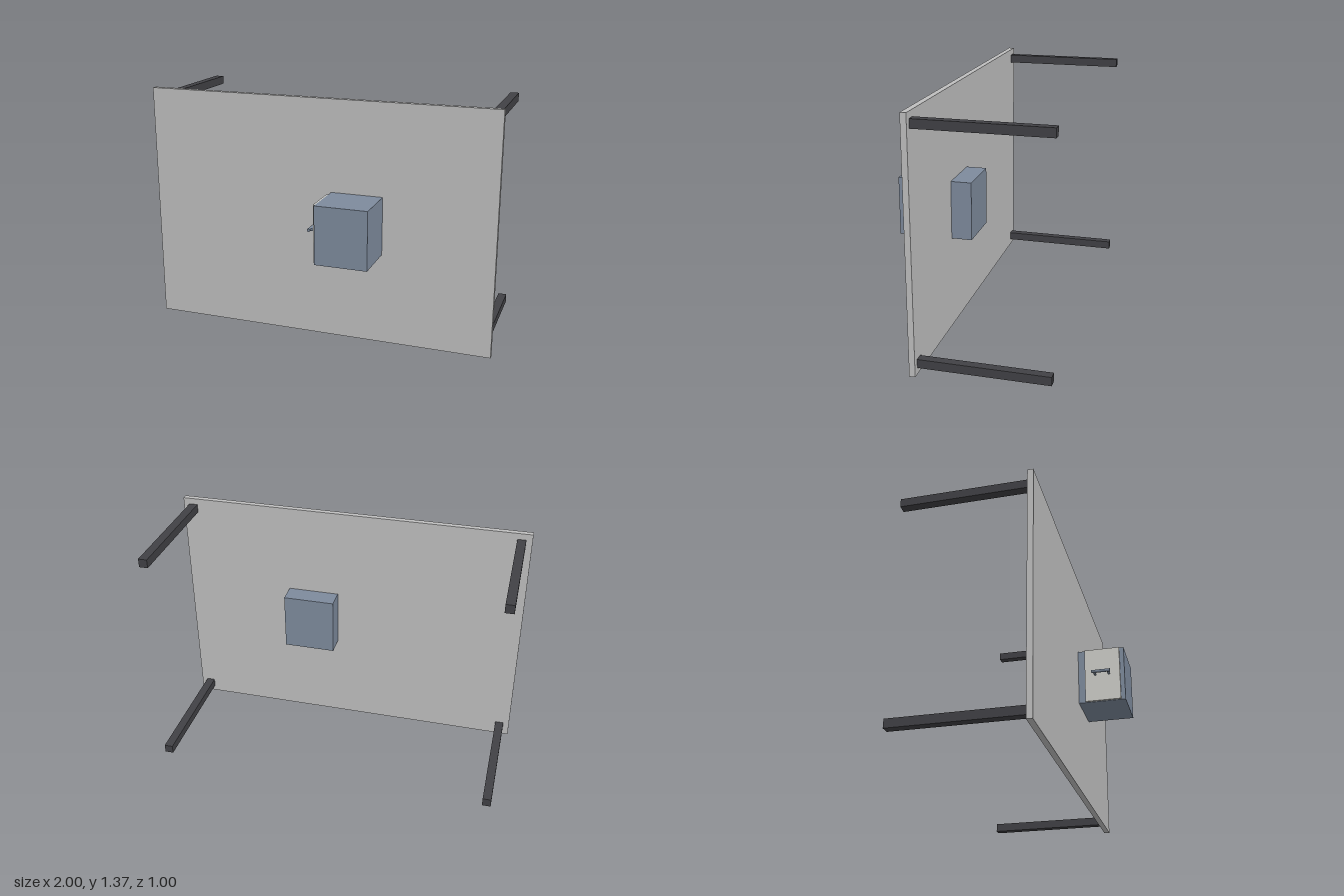
import * as THREE from 'three';

const material = (name, color) => {
  const m = new THREE.MeshStandardMaterial({ color });
  m.name = name;
  return m;
};

export function createModel() {
  const model = new THREE.Group();
  model.name = 'deskWithDrawer';
  const panelGrey = material('panelGrey', 0xbfbfbf);
  const legCharcoal = material('legCharcoal', 0x414145);
  const slateBlue = material('slateBlue', 0x7e8b9d);
  const frontGrey = material('frontGrey', 0xcdcdc8);

  const add = (name, geometry, mat, parent = model) => {
    const mesh = new THREE.Mesh(geometry, mat);
    mesh.name = name;
    parent.add(mesh);
    return mesh;
  };
  // Box given by its minimum and maximum corners
  const box = (name, a, b, mat) =>
    add(name, new THREE.BoxGeometry(b[0] - a[0], b[1] - a[1], b[2] - a[2]), mat)
      .position.set((a[0] + b[0]) / 2, (a[1] + b[1]) / 2, (a[2] + b[2]) / 2);

  // Upright table top
  box('tableTop', [-1, 0, 0.198], [1, 1.368, 0.23], panelGrey);

  // Four square legs pointing backwards
  for (const x of [-0.942, 0.942]) {
    for (const y of [0.059, 1.309]) {
      box('leg', [x - 0.024, y - 0.024, -0.5], [x + 0.024, y + 0.024, 0.198], legCharcoal);
    }
  }

  // Drawer cabinet passing through the top, with its front plate
  box('cabinet', [0.08, 0.521, 0.083], [0.375, 0.85, 0.5], slateBlue);
  box('drawerFront', [0.067, 0.523, 0.27], [0.08, 0.848, 0.475], frontGrey);

  // Bar handle on two posts
  const handle = new THREE.Group();
  handle.name = 'handle';
  handle.position.set(0.02, 0.685, 0.371);
  model.add(handle);
  add('handleBar', new THREE.CylinderGeometry(0.009, 0.009, 0.108, 16), slateBlue, handle)
    .rotation.x = Math.PI / 2;
  for (const z of [-0.04, 0.04]) {
    const post = add('handlePost', new THREE.CylinderGeometry(0.006, 0.006, 0.05, 12), slateBlue, handle);
    post.rotation.z = Math.PI / 2;
    post.position.set(0.025, 0, z);
  }
  return model;
}
